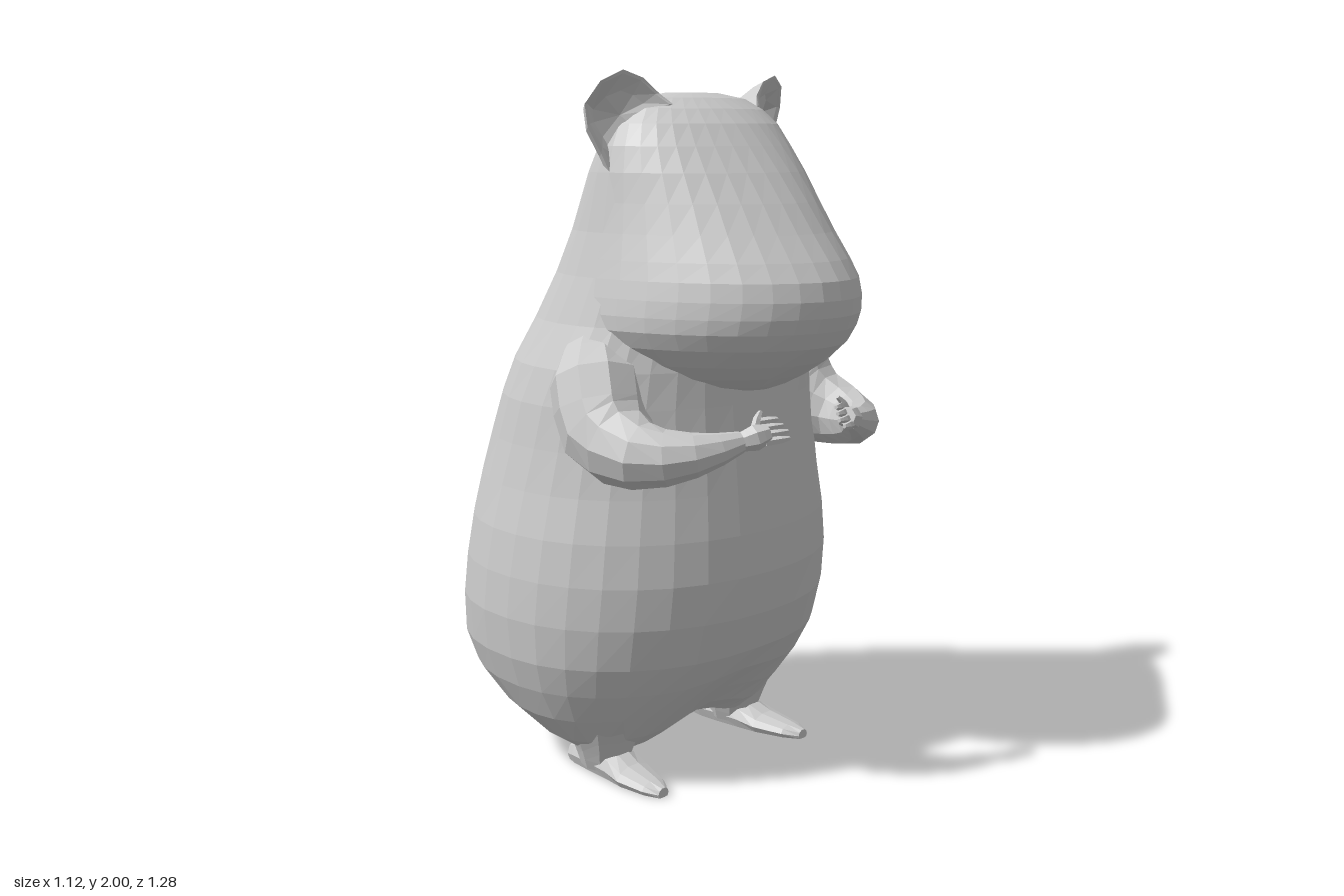
import * as THREE from 'three';

const material = new THREE.MeshStandardMaterial({ color: 0xcccccc, flatShading: true });
const V = (x, y, z) => new THREE.Vector3(x, y, z);

// Skin a list of equal-length rings and close both ends
function loft(name, rings, flip = false) {
  if (flip) rings = rings.map(r => r.slice().reverse());
  const n = rings[0].length, pos = [], idx = [];
  rings.forEach(r => r.forEach(p => pos.push(p.x, p.y, p.z)));
  for (let i = 0; i < rings.length - 1; i++) {
    for (let j = 0; j < n; j++) {
      const a = i * n + j, b = i * n + (j + 1) % n;
      idx.push(a, a + n, b, b, a + n, b + n);
    }
  }
  [0, rings.length - 1].forEach((i, end) => {
    const c = V(0, 0, 0);
    rings[i].forEach(p => c.addScaledVector(p, 1 / n));
    const k = pos.length / 3;
    pos.push(c.x, c.y, c.z);
    for (let j = 0; j < n; j++) {
      const a = i * n + j, b = i * n + (j + 1) % n;
      if (end) idx.push(k, b, a); else idx.push(k, a, b);
    }
  });
  const g = new THREE.BufferGeometry();
  g.setAttribute('position', new THREE.Float32BufferAttribute(pos, 3));
  g.setIndex(idx);
  g.computeVertexNormals();
  const mesh = new THREE.Mesh(g, material);
  mesh.name = name;
  return mesh;
}

// Horizontal rounded section: height, half width, front z, back z, z of widest point
function section([y, hw, zf, zb, zc], sides, power) {
  const e = 2 / power, f = v => Math.sign(v) * Math.abs(v) ** e;
  return Array.from({ length: sides }, (_, j) => {
    const a = j / sides * Math.PI * 2, c = f(Math.cos(a)), s = f(Math.sin(a));
    return V(hw * c, y, zc + s * (s > 0 ? zf - zc : zc - zb));
  });
}

// Round limb through [x, y, z, radius] stations, its frame carried along without twist
function limb(name, stations, sides, steps) {
  const curve = new THREE.CatmullRomCurve3(stations.map(s => V(s[0], s[1], s[2])));
  const rings = [], turn = new THREE.Quaternion(), step = new THREE.Quaternion();
  let last = V(0, 1, 0);
  for (let i = 0; i <= steps; i++) {
    const t = i / steps, u = t * (stations.length - 1);
    const k = Math.min(Math.floor(u), stations.length - 2);
    const r = THREE.MathUtils.lerp(stations[k][3], stations[k + 1][3], u - k);
    const dir = curve.getTangent(t), p = curve.getPoint(t);
    turn.premultiply(step.setFromUnitVectors(last, dir));
    last = dir;
    rings.push(section([0, r, r, -r, 0], sides, 2).map(v => v.applyQuaternion(turn).add(p)));
  }
  return loft(name, rings);
}

function makeBody() {
  const rows = [
    [0.08, 0.15, 0.05, -0.06, 0], [0.07, 0.34, 0.12, -0.12, 0], [0.12, 0.41, 0.18, -0.28, -0.03],
    [0.2, 0.475, 0.245, -0.45, -0.06], [0.29, 0.52, 0.315, -0.565, -0.08],
    [0.38, 0.548, 0.365, -0.603, -0.08], [0.5, 0.56, 0.4, -0.59, -0.08],
    [0.62, 0.555, 0.412, -0.575, -0.07], [0.74, 0.54, 0.405, -0.555, -0.06],
    [0.86, 0.515, 0.39, -0.53, -0.05], [0.98, 0.495, 0.375, -0.495, -0.03],
    [1.1, 0.48, 0.36, -0.45, -0.01], [1.2, 0.458, 0.35, -0.41, 0.02],
    [1.32, 0.412, 0.33, -0.345, 0.06], [1.45, 0.378, 0.32, -0.27, 0.09],
    [1.57, 0.352, 0.3, -0.21, 0.1], [1.73, 0.328, 0.27, -0.13, 0.1],
    [1.8, 0.312, 0.24, -0.085, 0.1], [1.86, 0.287, 0.2, -0.035, 0.1],
    [1.9, 0.25, 0.18, 0.005, 0.1], [1.93, 0.195, 0.17, 0.035, 0.1], [1.945, 0.1, 0.14, 0.07, 0.1],
  ];
  const rings = rows.map(r => section(r, 32, 2.15));
  // Raise the underside between the legs
  rings.flat().forEach(p => {
    if (p.y < 0.4) p.y += 0.075 * Math.exp(-((p.x / 0.15) ** 2)) * (1 - p.y / 0.4);
  });
  return loft('body', rings);
}

function makeHead() {
  const rows = [
    [1.135, 0.08, 0.38, 0.22, 0.3], [1.15, 0.16, 0.42, 0.15, 0.27],
    [1.18, 0.245, 0.475, 0.05, 0.22], [1.22, 0.315, 0.535, 0, 0.17],
    [1.27, 0.37, 0.59, 0, 0.13], [1.315, 0.394, 0.618, 0, 0.11], [1.355, 0.395, 0.635, 0, 0.1],
    [1.4, 0.388, 0.64, 0, 0.1], [1.45, 0.378, 0.63, 0, 0.1],
    [1.5, 0.367, 0.597, 0, 0.1], [1.57, 0.352, 0.542, 0, 0.1],
    [1.65, 0.338, 0.483, 0, 0.1], [1.73, 0.328, 0.42, 0, 0.1],
    [1.8, 0.312, 0.36, 0, 0.1], [1.86, 0.287, 0.307, 0.01, 0.1],
    [1.9, 0.25, 0.257, 0.03, 0.1], [1.93, 0.195, 0.203, 0.04, 0.1], [1.945, 0.1, 0.15, 0.07, 0.1],
  ];
  return loft('head', rows.map(r => section(r, 36, 1.92)));
}

// Cupped ear: root inside the head, flared back, rim, hollow front
function makeEar(s) {
  const rim = [
    [0.17, 1.91, 0.19], [0.2, 1.94, 0.165], [0.245, 1.98, 0.15], [0.31, 2.0, 0.14], [0.37, 1.97, 0.115],
    [0.4, 1.91, 0.085], [0.385, 1.85, 0.08], [0.345, 1.78, 0.09], [0.315, 1.7, 0.11], [0.24, 1.8, 0.17],
  ];
  const layers = [ // scale, centre x, centre y, z shift
    [0.8, 0.14, 1.77, -0.1], [0.92, 0.225, 1.83, -0.055], [0.97, 0.275, 1.868, -0.025],
    [1, 0.29, 1.88, 0], [0.88, 0.29, 1.885, -0.003], [0.55, 0.285, 1.88, -0.025],
  ];
  const rings = layers.map(([k, cx, cy, dz]) => rim.map(([x, y, z]) =>
    V(s * (cx + (x - 0.29) * k), cy + (y - 1.88) * k, z + dz)));
  return loft('ear', rings, s < 0);
}

function makeArm(s) {
  const arm = new THREE.Group();
  arm.name = s > 0 ? 'leftArm' : 'rightArm';
  const add = (name, pts, sides, steps) =>
    arm.add(limb(name, pts.map(([x, y, z, r]) => [s * x, y, z, r]), sides, steps));
  add('armLimb', [
    [0.33, 1.28, 0.05, 0.07], [0.385, 1.17, 0.11, 0.13], [0.415, 1.045, 0.18, 0.128],
    [0.43, 1.0, 0.32, 0.092], [0.35, 1.008, 0.44, 0.06], [0.235, 1.035, 0.5, 0.029],
  ], 10, 10);
  add('palm', [[0.245, 1.033, 0.495, 0.024], [0.205, 1.045, 0.52, 0.036], [0.17, 1.055, 0.535, 0.026]], 7, 4);
  // Four fingers fanned by height, then the thumb
  for (let i = 0; i < 4; i++) {
    const y = 1.032 + i * 0.016, z = 0.555 - i * 0.012;
    add('finger', [[0.185, y, z - 0.015, 0.012], [0.145, y + 0.004, z + 0.005, 0.011],
      [0.11 + Math.abs(i - 1) * 0.008, y + 0.006, z + 0.012, 0.006]], 5, 4);
  }
  add('thumb', [[0.2, 1.06, 0.515, 0.013], [0.185, 1.09, 0.51, 0.011], [0.165, 1.108, 0.505, 0.006]], 5, 4);
  return arm;
}

function makeLeg(s) {
  const leg = new THREE.Group();
  leg.name = s > 0 ? 'leftLeg' : 'rightLeg';
  leg.add(limb('ankle', [[s * 0.28, 0.15, 0.02, 0.12], [s * 0.28, 0.08, 0.02, 0.09], [s * 0.28, 0.02, 0.015, 0.068]], 10, 4));
  // Long flat foot: z, centre x, half width, height
  const rows = [[-0.105, 0.27, 0.045, 0.06], [-0.07, 0.272, 0.058, 0.08], [0, 0.277, 0.065, 0.09],
    [0.09, 0.285, 0.066, 0.08], [0.15, 0.293, 0.066, 0.055], [0.24, 0.303, 0.046, 0.038], [0.285, 0.308, 0.02, 0.028]];
  const rings = rows.map(([z, cx, w, h]) => Array.from({ length: 10 }, (_, j) => {
    const a = -j / 10 * Math.PI * 2;
    return V(s * cx + w * Math.cos(a), Math.max(0, h * (0.4 + 0.6 * Math.sin(a))), z);
  }));
  leg.add(loft('foot', rings));
  return leg;
}

export function createModel() {
  const model = new THREE.Group();
  model.name = 'animal';
  model.add(makeBody(), makeHead());
  for (const s of [1, -1]) model.add(makeEar(s), makeArm(s), makeLeg(s));
  // Stubby tail
  model.add(limb('tail', [[0, 0.41, -0.49, 0.13], [0, 0.355, -0.578, 0.06], [0, 0.32, -0.637, 0.003]], 9, 4));
  return model;
}
